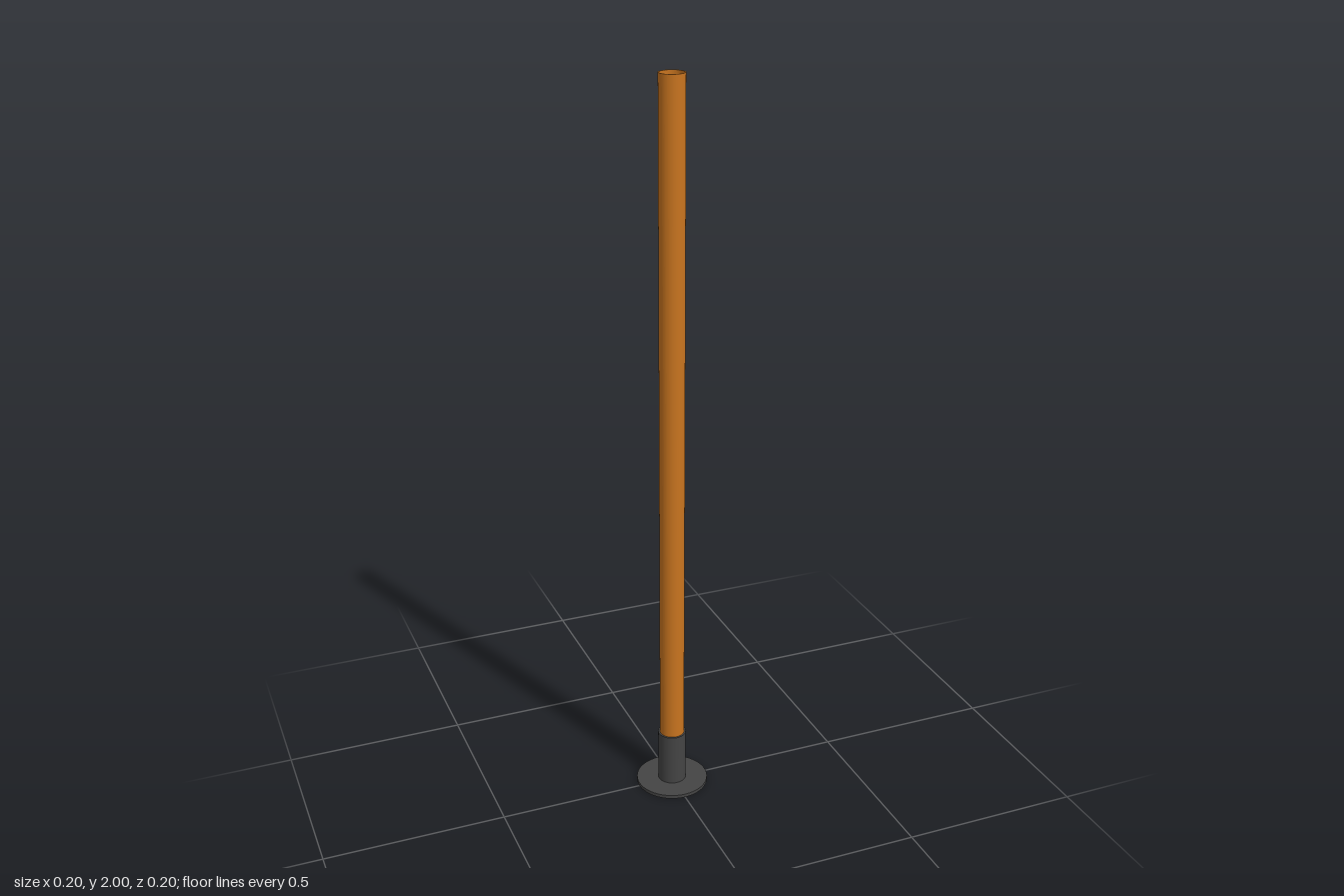
import * as THREE from 'three';

const SIDES = 48;

// Hollow tube with real wall thickness; each wall keeps its own normals.
function tube(name, outer, inner, y0, y1, material) {
  const shape = new THREE.Shape().absarc(0, 0, outer, 0, Math.PI * 2);
  shape.holes.push(new THREE.Path().absarc(0, 0, inner, 0, Math.PI * 2, true));
  const geometry = new THREE.ExtrudeGeometry(shape, {
    depth: y1 - y0, bevelEnabled: false, curveSegments: SIDES,
  });
  geometry.rotateX(-Math.PI / 2).translate(0, y0, 0);
  const mesh = new THREE.Mesh(geometry, material);
  mesh.name = name;
  return mesh;
}

export function createModel() {
  const group = new THREE.Group();
  group.name = 'floorPost';
  const darkMetal = new THREE.MeshStandardMaterial({ color: 0x444444 });
  const orange = new THREE.MeshStandardMaterial({ color: 0xc8741f });

  // Flat round foot
  const baseHeight = 0.01;
  const base = new THREE.Mesh(
    new THREE.CylinderGeometry(0.1, 0.1, baseHeight, SIDES), darkMetal);
  base.position.y = baseHeight / 2;
  base.name = 'basePlate';
  group.add(base);

  // Socket holding the pole, and the open-topped pole
  group.add(tube('socket', 0.039, 0.034, baseHeight, 0.16, darkMetal));
  group.add(tube('pole', 0.034, 0.0315, baseHeight, 2, orange));

  return group;
}
